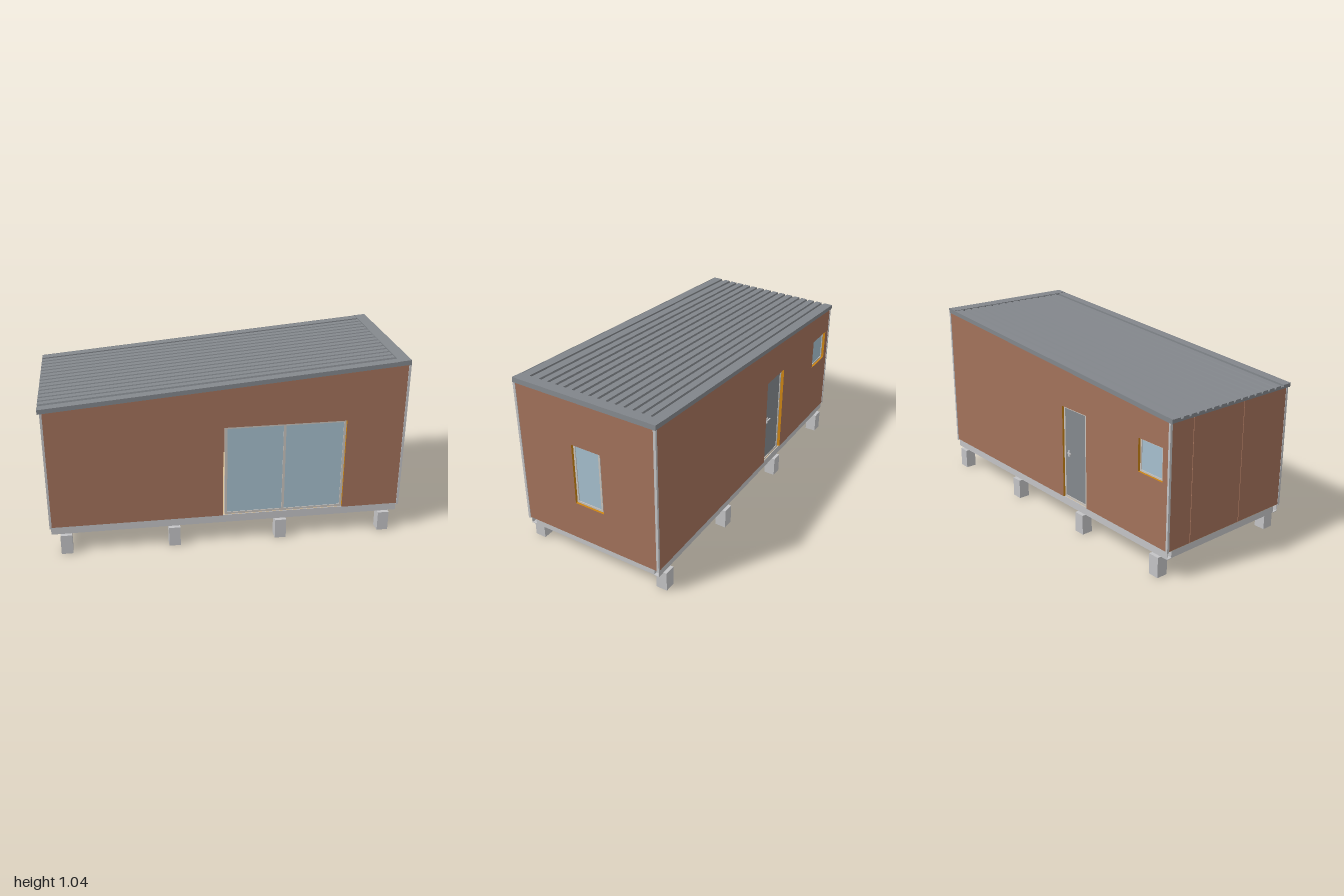
import * as THREE from 'three';

const mat = (name, color) => {
  const m = new THREE.MeshStandardMaterial({ color });
  m.name = name;
  return m;
};

const SLOPE = 0.0845;                       // rise of the roof per unit of x
const roofY = (x) => 0.93 + SLOPE * x;      // underside of the roof
const BASE = 0.163, HEAD = 0.703;           // wall foot and door head

export function createModel() {
  const cladding = mat('brown cladding', 0xa3725b);
  const lining = mat('orange timber lining', 0xcb8413);
  const steel = mat('light grey', 0xc4c4c6);
  const roofing = mat('roof grey', 0x83878c);
  const glass = mat('glass blue', 0xa6bfce);
  const frame = mat('frame beige', 0xc9c4be);
  const doorGrey = mat('door grey', 0x84898d);
  const ply = mat('floor plywood', 0xd9bd92);

  const house = new THREE.Group();
  house.name = 'cabin';

  // Box given by its limits on each axis
  const box = (name, m, x0, x1, y0, y1, z0, z1, parent = house) => {
    const mesh = new THREE.Mesh(new THREE.BoxGeometry(x1 - x0, y1 - y0, z1 - z0), m);
    mesh.position.set((x0 + x1) / 2, (y0 + y1) / 2, (z0 + z1) / 2);
    mesh.name = name;
    parent.add(mesh);
    return mesh;
  };

  // Wall slab from an outline, with rectangular window holes [u0, u1, y0, y1]
  const slab = (name, points, holes, depth, edge) => {
    const shape = new THREE.Shape(points.map(([u, v]) => new THREE.Vector2(u, v)));
    for (const [u0, u1, y0, y1] of holes) {
      shape.holes.push(new THREE.Path([[u0, y0], [u0, y1], [u1, y1], [u1, y0]].map(([u, v]) => new THREE.Vector2(u, v))));
    }
    const geo = new THREE.ExtrudeGeometry(shape, { depth, bevelEnabled: false });
    const mesh = new THREE.Mesh(geo, [cladding, edge]);
    mesh.name = name;
    house.add(mesh);
    return mesh;
  };

  // Rectangular frame with a pane, built facing +z at z = 0
  const unit = (name, w, h, bar, pane, mullions = []) => {
    const g = new THREE.Group();
    g.name = name;
    const d = 0.025;
    box(name + 'Pane', pane, -w / 2 + bar, w / 2 - bar, bar, h - bar, -d + 0.004, -0.004, g);
    for (const s of [-1, 1]) {
      const x = s * (w / 2 - bar / 2);
      box(name + 'Jamb', frame, x - bar / 2, x + bar / 2, 0, h, -d, 0, g);
    }
    for (const y of [0, h - bar]) box(name + 'Rail', frame, -w / 2 + bar, w / 2 - bar, y, y + bar, -d, 0, g);
    for (const x of mullions) box(name + 'Mullion', frame, x - 0.007, x + 0.007, bar, h - bar, -d, 0, g);
    house.add(g);
    return g;
  };

  // Foundation piers
  for (const x of [-0.9, -0.3, 0.305, 0.91]) {
    for (const z of [-0.406, 0.408]) box('pier', steel, x - 0.032, x + 0.032, 0, 0.115, z - 0.032, z + 0.032);
  }

  // Floor: channel beams along both sides, end beams, underside and deck
  for (const s of [-1, 1]) {
    const z = (a, b) => (s > 0 ? [a, b] : [-b, -a]);
    box('sideBeamWeb', steel, -0.98, 0.985, 0.117, BASE, ...z(0.417, 0.42));
    box('sideBeamFlange', steel, -0.98, 0.985, 0.117, 0.12, ...z(0.39, 0.417));
  }
  box('endBeam', steel, 0.955, 0.982, 0.117, 0.156, -0.39, 0.39);
  box('endBeam', steel, -0.977, -0.95, 0.117, 0.156, -0.39, 0.39);
  box('floorUnderside', steel, -0.95, 0.955, 0.118, 0.13, -0.39, 0.39);
  box('floorDeck', ply, -0.978, 0.984, 0.156, BASE, -0.417, 0.417);

  // Long walls with a door notch in the foot; the side faces are the lining
  const longWall = (name, d0, d1, holes) => slab(name, [
    [-0.976, BASE], [d0, BASE], [d0, HEAD], [d1, HEAD], [d1, BASE],
    [0.986, BASE], [0.986, roofY(0.986)], [-0.976, roofY(-0.976)],
  ], holes, 0.045, lining);
  longWall('frontWall', -0.025, 0.662, []).position.z = 0.381;
  longWall('backWall', -0.352, -0.147, [[-0.937, -0.762, 0.525, 0.705]]).position.z = -0.426;

  // High end wall with its window; outline runs along z
  const rightTop = roofY(0.99);
  const rightWall = slab('rightWall', [[-0.415, BASE], [0.415, BASE], [0.415, rightTop], [-0.415, rightTop]],
    [[-0.097, 0.083, 0.392, 0.754]], 0.045, lining);
  rightWall.rotation.y = -Math.PI / 2;
  rightWall.position.x = 0.995;

  // Low end wall in three panels with narrow joints
  const leftTop = roofY(-0.98);
  [[-0.415, -0.272], [-0.268, 0.088], [0.092, 0.415]].forEach(([a, b]) => {
    box('leftWallPanel', cladding, -0.985, -0.945, BASE, leftTop, a, b);
  });
  box('leftWallBacking', cladding, -0.978, -0.95, BASE, leftTop, -0.41, 0.41);

  // Corner trims
  for (const s of [-1, 1]) {
    const z = s > 0 ? [0.415, 0.429] : [-0.429, -0.415];
    box('cornerTrim', steel, 0.985, 0.998, 0.157, roofY(0.985), ...z);
    box('cornerTrim', steel, -0.987, -0.975, 0.157, roofY(-0.987), ...z);
  }

  // Sliding glass door at the front
  const slider = unit('slidingDoor', 0.675, 0.54, 0.013, glass, [-0.006]);
  slider.position.set(0.324, BASE, 0.414);

  // End window
  const sideWindow = unit('sideWindow', 0.165, 0.362, 0.011, glass);
  sideWindow.rotation.y = Math.PI / 2;
  sideWindow.position.set(0.983, 0.392, -0.002);

  // Back door with handle
  const door = unit('backDoor', 0.193, 0.54, 0.011, doorGrey);
  door.rotation.y = Math.PI;
  door.position.set(-0.244, BASE, -0.414);
  box('doorHandlePlate', steel, -0.193, -0.181, 0.415, 0.45, -0.416, -0.409);
  box('doorHandleLever', steel, -0.212, -0.181, 0.434, 0.439, -0.422, -0.416);

  // Small back window
  const backWindow = unit('backWindow', 0.165, 0.18, 0.009, glass);
  backWindow.rotation.y = Math.PI;
  backWindow.position.set(-0.848, 0.525, -0.414);

  // Sloping roof: sheet, ribs, edge flashings and the high end cap
  const roof = new THREE.Group();
  roof.name = 'roof';
  roof.position.y = 0.93;
  roof.rotation.z = Math.atan(SLOPE);
  house.add(roof);
  const L = 1.002;
  box('roofSheet', roofing, -L, L, 0, 0.011, -0.428, 0.428, roof);

  const pitch = 0.0516, half = 0.0215, slant = 0.004;
  const rib = new THREE.Shape([[-half, 0.008], [half, 0.008], [half - slant, 0.021], [-half + slant, 0.021]]
    .map(([u, v]) => new THREE.Vector2(u, v)));
  const ribGeo = new THREE.ExtrudeGeometry(rib, { depth: L + 0.935, bevelEnabled: false });
  ribGeo.rotateY(Math.PI / 2);
  for (let i = 0; i < 14; i++) {
    const mesh = new THREE.Mesh(ribGeo, roofing);
    mesh.name = 'roofRib';
    mesh.position.set(-L, 0, (i - 6.5) * pitch - 0.003);
    roof.add(mesh);
  }
  for (const s of [-1, 1]) {
    const z = s > 0 ? [0.375, 0.429] : [-0.429, -0.375];
    box('edgeFlashing', roofing, -L, L, 0.008, 0.021, ...z, roof);
    const zf = s > 0 ? [0.426, 0.43] : [-0.43, -0.426];
    box('edgeFascia', roofing, -L, L, -0.003, 0.022, ...zf, roof);
  }
  box('endCap', roofing, 0.938, L, 0.008, 0.0235, -0.43, 0.43, roof);
  box('endCapFascia', roofing, L - 0.004, L, -0.004, 0.0235, -0.43, 0.43, roof);

  return house;
}
